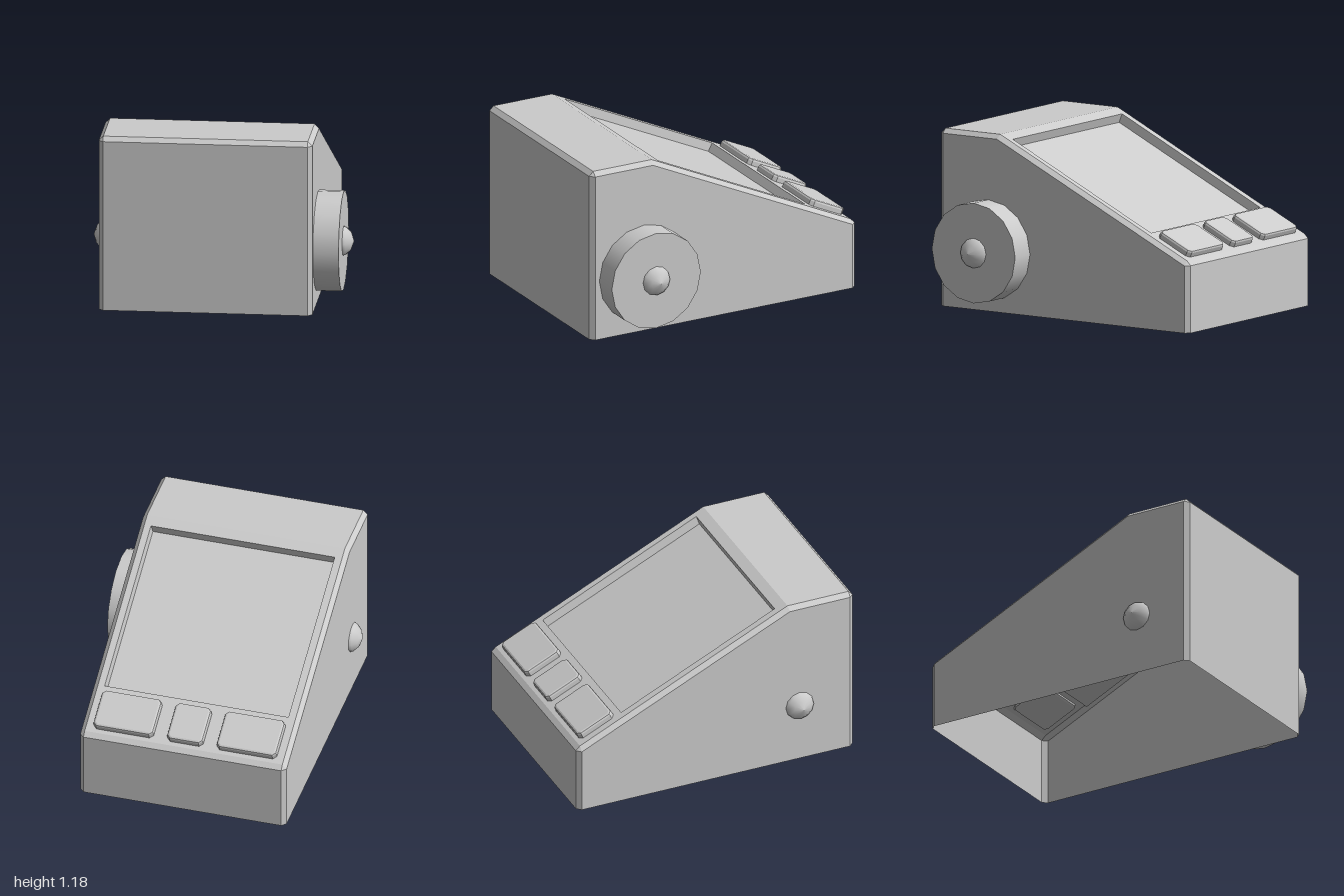
import * as THREE from 'three';

const grey = new THREE.MeshStandardMaterial({ color: 0xcccccc, side: THREE.DoubleSide });

function addMesh(parent, name, geometry) {
  const mesh = new THREE.Mesh(geometry, grey);
  mesh.name = name;
  parent.add(mesh);
  return mesh;
}

// Flat-shaded geometry from polygons, each a convex counter-clockwise list of [x, y, z]
function polygons(faces) {
  const pos = [];
  for (const f of faces) {
    for (let i = 1; i < f.length - 1; i++) pos.push(...f[0], ...f[i], ...f[i + 1]);
  }
  const g = new THREE.BufferGeometry();
  g.setAttribute('position', new THREE.Float32BufferAttribute(pos, 3));
  g.computeVertexNormals();
  return g;
}

// Rectangle with optional cut corners; shape y is -z once laid flat
function rectangle(x0, x1, z0, z1, cut = 0) {
  const pts = [
    [x0 + cut, -z1], [x1 - cut, -z1], [x1, -z1 + cut], [x1, -z0 - cut],
    [x1 - cut, -z0], [x0 + cut, -z0], [x0, -z0 - cut], [x0, -z1 + cut],
  ].map(([x, y]) => new THREE.Vector2(x, y));
  return new THREE.Shape(cut ? pts : [pts[0], pts[1], pts[4], pts[5]]);
}

export function createModel() {
  const group = new THREE.Group();
  group.name = 'slopedConsole';

  // Body: [z, y] profiles from front bottom, over the top, to back bottom
  const middle = [[1, 0], [1, 1.155], [0.97, 1.185], [0.53, 1.185], [-0.97, 0.48], [-1, 0.45], [-1, 0]];
  const side = [[0.97, 0], [0.97, 1.155], [0.97, 1.155], [0.535, 1.155], [-0.97, 0.45], [-0.97, 0.45], [-0.97, 0]];
  const left = -0.765, right = 0.59, bevel = 0.03, slopeIndex = 3;
  const sections = [[left - bevel, side], [left, middle], [right, middle], [right + bevel, side]]
    .map(([x, profile]) => profile.map(([z, y]) => [x, y, z]));
  const faces = [sections[0], [...sections[3]].reverse()];
  for (let s = 0; s < 3; s++) {
    for (let i = 0; i < middle.length - 1; i++) {
      if (s === 1 && i === slopeIndex) continue; // the sloped panel fills this gap
      const a = sections[s], b = sections[s + 1];
      faces.push([a[i], b[i], b[i + 1], a[i + 1]]);
    }
  }
  addMesh(group, 'bodyShell', polygons(faces));

  // Sloped panel, built flat and then tilted
  const [zTop, yTop] = middle[slopeIndex], [zLow, yLow] = middle[slopeIndex + 1];
  const panel = new THREE.Group();
  panel.name = 'slopedPanel';
  panel.position.set(0, (yTop + yLow) / 2, (zTop + zLow) / 2);
  panel.rotation.x = -Math.atan2(yTop - yLow, zTop - zLow);
  group.add(panel);

  const half = Math.hypot(yTop - yLow, zTop - zLow) / 2;
  const x0 = -0.715, x1 = 0.545, z0 = -0.475, z1 = 0.751;
  const frame = rectangle(left, right, -half, half);
  frame.holes.push(rectangle(x0, x1, z0, z1));
  addMesh(panel, 'panelFrame', new THREE.ShapeGeometry(frame).rotateX(-Math.PI / 2));

  // Recessed screen
  const inset = 0.008, depth = 0.06;
  const ring = (d, y) => [[x0 + d, y, z0 + d], [x1 - d, y, z0 + d], [x1 - d, y, z1 - d], [x0 + d, y, z1 - d]];
  const rim = ring(0, 0), floor = ring(inset, -depth);
  addMesh(panel, 'screenRecess', polygons(rim.map((_, i) => {
    const j = (i + 1) % 4;
    return [floor[i], floor[j], rim[j], rim[i]];
  })));
  addMesh(panel, 'screen', polygons([[...floor].reverse()]));

  // Three raised buttons with softened edges
  const b = 0.016;
  for (const [name, bx0, bx1] of [['wideButtonRight', -0.715, -0.305], ['smallButton', -0.21, 0.035], ['wideButtonLeft', 0.13, 0.54]]) {
    const shape = rectangle(bx0 + b, bx1 - b, -0.8 + b, -0.525 - b, 0.014);
    const geometry = new THREE.ExtrudeGeometry(shape, {
      depth: 0.03, bevelEnabled: true, bevelSize: b, bevelThickness: b, bevelSegments: 2,
    }).rotateX(-Math.PI / 2);
    addMesh(panel, name, geometry);
  }

  // Side wheel
  const axleY = 0.41, axleZ = 0.605;
  const wheel = addMesh(group, 'sideWheel', new THREE.CylinderGeometry(0.335, 0.335, 0.17, 16));
  wheel.rotation.z = -Math.PI / 2;
  wheel.position.set(0.705, axleY, axleZ);

  // Domed caps at both ends of the axle
  const dome = [[0.1, 0], [0.094, 0.018], [0.06, 0.05], [0, 0.07]].map(([r, y]) => new THREE.Vector2(r, y));
  for (const [name, x, dir] of [['wheelCap', 0.79, 1], ['oppositeCap', left - bevel, -1]]) {
    const cap = addMesh(group, name, new THREE.LatheGeometry(dome, 12));
    cap.rotation.z = -dir * Math.PI / 2;
    cap.position.set(x, axleY, axleZ);
  }

  return group;
}
